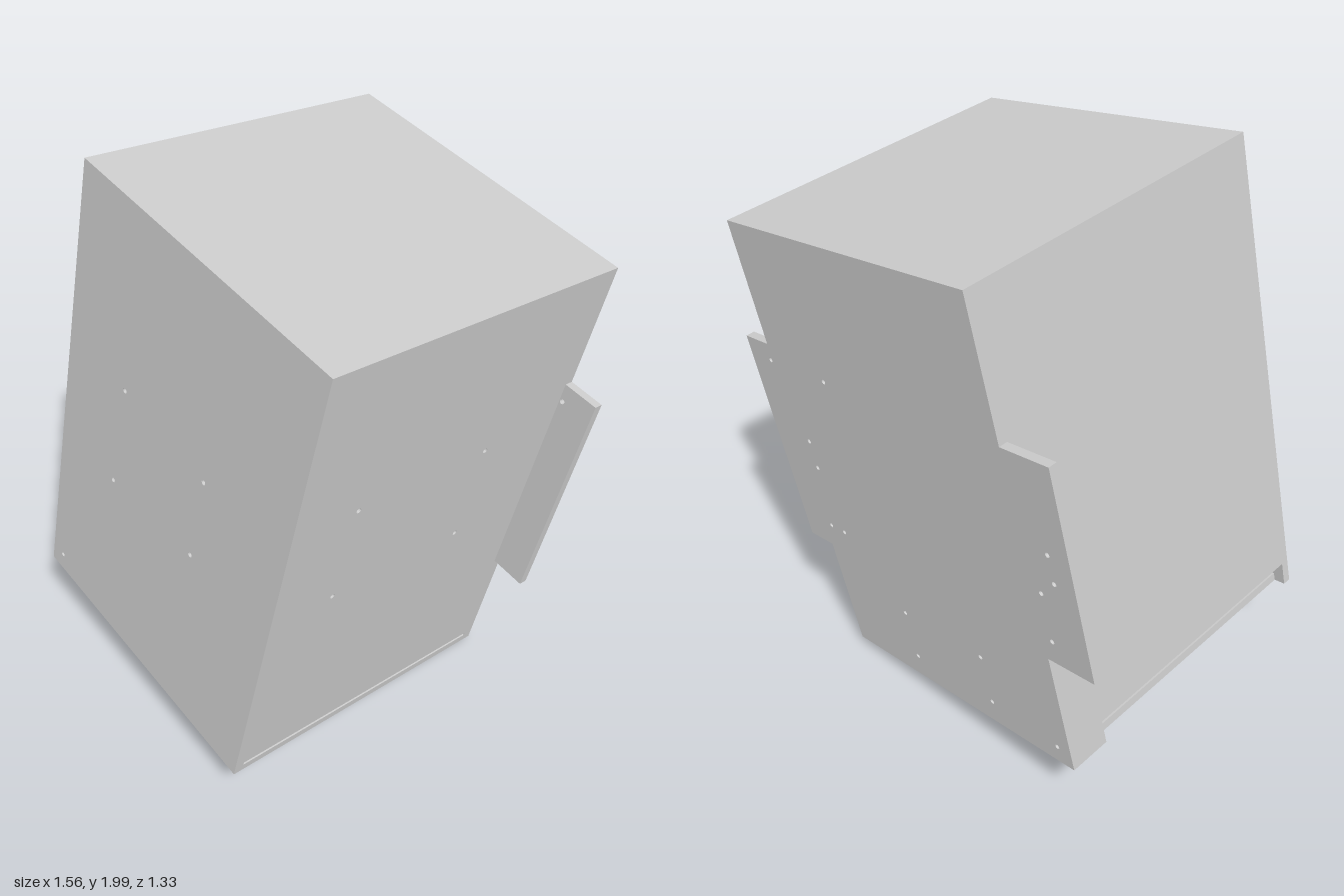
import * as THREE from 'three';

const W = 0.563, H = 0.8475, D = 0.565, T = 0.03; // half sizes and wall thickness
const HOLE = 0.009;

const material = new THREE.MeshStandardMaterial({ color: 0xcccccc });

function outline(points) {
  return new THREE.Shape(points.map(([x, y]) => new THREE.Vector2(x, y)));
}

function drill(shape, holes, radius = HOLE) {
  for (const [x, y] of holes) {
    shape.holes.push(new THREE.Path().absarc(x, y, radius, 0, Math.PI * 2, true));
  }
  return shape;
}

function plate(shape, depth = T) {
  return new THREE.ExtrudeGeometry(shape, { depth, bevelEnabled: false, curveSegments: 8 });
}

export function createModel() {
  const model = new THREE.Group();
  const box = new THREE.Group();
  box.name = 'tiltedBox';
  model.add(box);

  const add = (name, geometry, x = 0, y = 0, z = 0) => {
    const mesh = new THREE.Mesh(geometry, material);
    mesh.name = name;
    mesh.position.set(x, y, z);
    box.add(mesh);
    return mesh;
  };

  // Front panel with screw holes
  const front = drill(outline([[-W, -H], [W, -H], [W, H], [-W, H]]), [
    [-0.25, 0.199], [0.172, 0.162], [-0.257, -0.19], [0.169, -0.154], [-0.503, -0.78],
  ]);
  add('frontPanel', plate(front), 0, 0, D - T);

  // Back panel with a mounting flange on each side
  const back = drill(outline([
    [-W, -H], [W, -H], [W, -0.41], [0.69, -0.41], [0.69, 0.41], [W, 0.41],
    [W, H], [-W, H], [-W, 0.378], [-0.755, 0.378], [-0.755, -0.378], [-W, -0.378],
  ]), [
    [0.574, 0.347], [0.272, 0.347], [0.49, 0.054], [0.49, -0.054], [0.524, -0.311], [0.446, -0.311],
    [-0.668, 0.056], [-0.67, -0.046], [-0.601, -0.11], [-0.601, -0.292],
    [0.194, -0.558], [0.194, -0.755], [-0.2, -0.558], [-0.2, -0.755], [-0.503, -0.78],
  ]);
  add('backPanel', plate(back), 0, 0, -D);

  // Left wall with screw holes and a thin slot; drawn with x = -z
  const E = D - T;
  const left = drill(outline([[-E, -H], [E, -H], [E, H], [-E, H]]), [
    [-0.315, 0.265], [0.217, 0.265], [-0.322, -0.1], [0.215, -0.1],
  ]);
  left.holes.push(outline([[-0.53, -0.82], [-0.53, -0.808], [0.53, -0.808], [0.53, -0.82]]));
  add('leftWall', plate(left).rotateY(Math.PI / 2), W - T);

  // Right wall, open along the bottom except at its rear foot
  const right = outline([[-E, -0.757], [0.415, -0.757], [0.415, -H], [E, -H], [E, H], [-E, H]]);
  add('rightWall', plate(right).rotateY(Math.PI / 2), -W);

  // Top and the floor, which stops short of the right wall
  add('topPanel', new THREE.BoxGeometry(2 * (W - T), T, 2 * E), 0, H - T / 2, 0);
  const floorStart = -W + 0.042, floorEnd = W - T;
  add('floorPanel', new THREE.BoxGeometry(floorEnd - floorStart, T, 2 * E),
    (floorStart + floorEnd) / 2, -H + T / 2, 0);

  // Handle under the floor: rounded bar on two posts
  const hx = 0.44, hz = 0.073, r = 0.042, half = 0.16;
  const bar = new THREE.Shape();
  bar.absarc(0, half, r, 0, Math.PI, false);
  bar.absarc(0, -half, r, Math.PI, Math.PI * 2, false);
  bar.closePath();
  drill(bar, [[0, -half], [0, half]], 0.013);
  add('handleBar', plate(bar, 0.036).rotateX(Math.PI / 2), hx, -0.905, hz);
  for (const s of [-1, 1]) {
    add('handlePost', new THREE.CylinderGeometry(0.03, 0.03, 0.06, 24), hx, -0.876, hz + s * half);
  }

  // Lean of the whole box
  const up = new THREE.Vector3(0.165, 0.982, -0.0885).normalize();
  const side = new THREE.Vector3(0.985, -0.164, 0.053);
  const forward = new THREE.Vector3().crossVectors(side, up).normalize();
  side.crossVectors(up, forward);
  box.quaternion.setFromRotationMatrix(new THREE.Matrix4().makeBasis(side, up, forward));
  box.position.set(0.005, 1.02, 0);
  return model;
}
